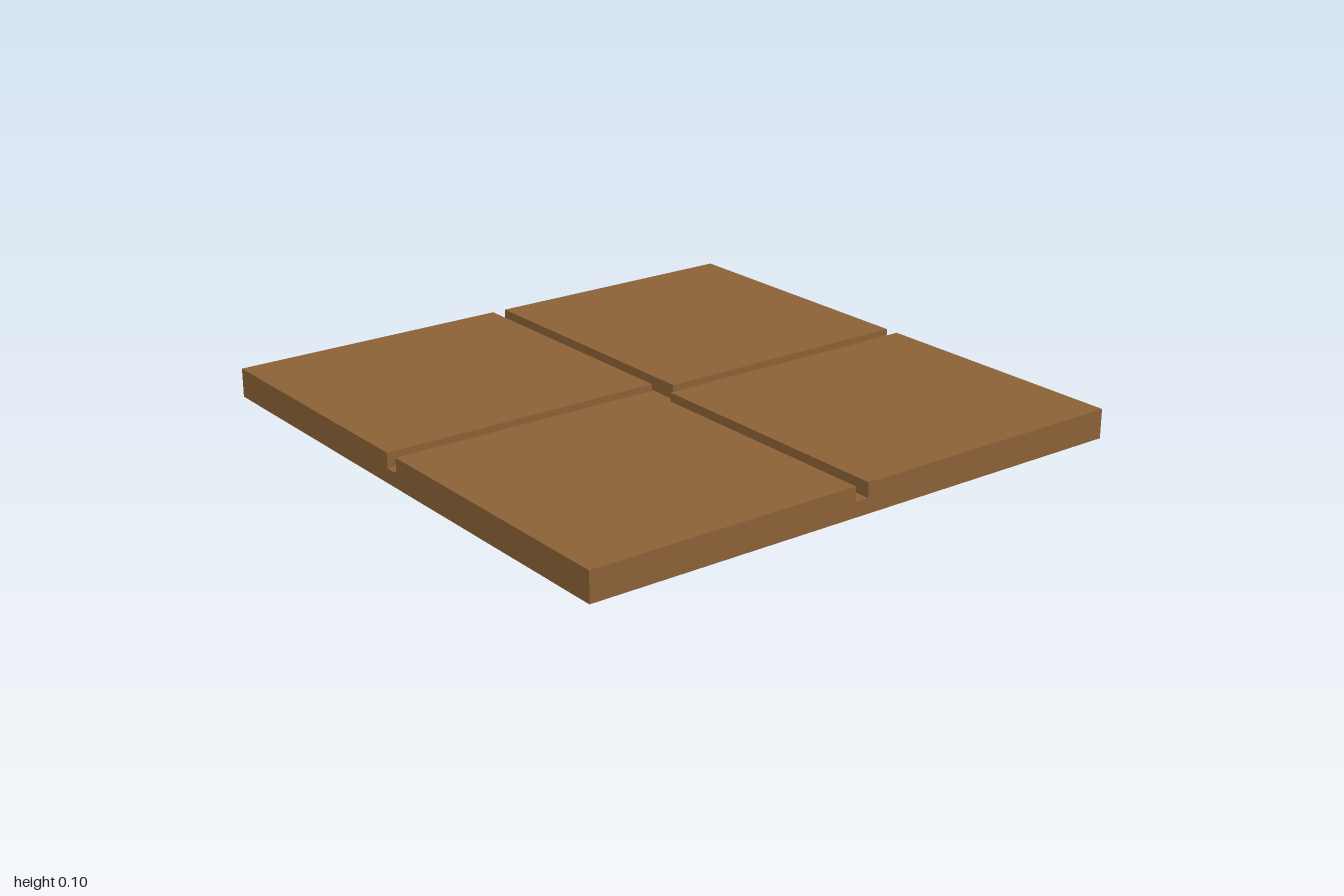
import * as THREE from 'three';

const THICKNESS = 0.1;
const GROOVE = 0.05; // width and depth of the grooves

export function createModel() {
  const group = new THREE.Group();
  group.name = 'panelledSlab';
  const wood = new THREE.MeshStandardMaterial({ color: 0x8f6337 });
  wood.name = 'brownWood';

  // Base slab, whose top is the floor of the grooves
  const baseHeight = THICKNESS - GROOVE;
  const base = new THREE.Mesh(new THREE.BoxGeometry(2, baseHeight, 2), wood);
  base.name = 'base';
  base.position.y = baseHeight / 2;
  group.add(base);

  // Four raised panels in a pinwheel, leaving staggered grooves between them
  const panelGeometry = new THREE.BoxGeometry(1, GROOVE, 1 - GROOVE);
  panelGeometry.translate(0.5, baseHeight + GROOVE / 2, (1 + GROOVE) / 2);
  const names = ['frontLeftPanel', 'backLeftPanel', 'backRightPanel', 'frontRightPanel'];
  names.forEach((name, i) => {
    const panel = new THREE.Mesh(panelGeometry, wood);
    panel.name = name;
    panel.rotation.y = (i * Math.PI) / 2;
    group.add(panel);
  });

  return group;
}
